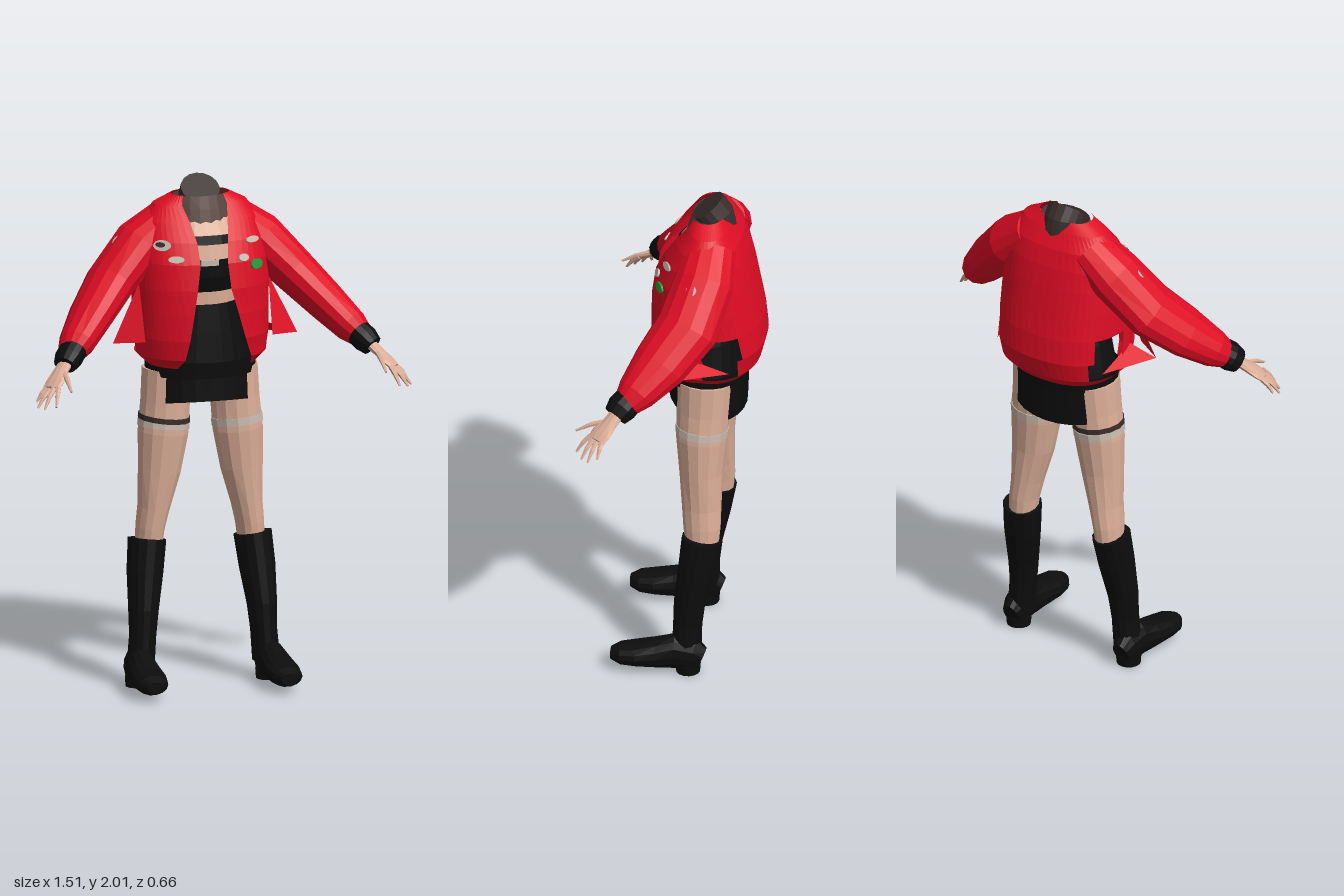
import * as THREE from 'three';

const mat = (name, color, side = THREE.FrontSide) => {
  const m = new THREE.MeshStandardMaterial({ color, side });
  m.name = name;
  return m;
};

// Flat-shaded geometry from points and triangle indices
function faceted(points, index) {
  const g = new THREE.BufferGeometry().setFromPoints(points);
  g.setIndex(index);
  const flat = g.toNonIndexed();
  flat.computeVertexNormals();
  return flat;
}

// Skin elliptical sections [x, y, z, radiusU, radiusV]; u leans towards uDir
function loft(sections, uDir = [1, 0, 0], sides = 14, caps = true) {
  const centres = sections.map(s => new THREE.Vector3(s[0], s[1], s[2]));
  const pts = [], idx = [], last = sections.length - 1;
  sections.forEach((s, i) => {
    const t = centres[Math.min(i + 1, last)].clone().sub(centres[Math.max(i - 1, 0)]).normalize();
    const v = t.clone().cross(new THREE.Vector3(...uDir)).normalize();
    const u = v.clone().cross(t);
    for (let j = 0; j < sides; j++) {
      const a = j / sides * Math.PI * 2;
      pts.push(centres[i].clone().addScaledVector(u, s[3] * Math.cos(a)).addScaledVector(v, s[4] * Math.sin(a)));
    }
  });
  for (let j = 0; j < sides; j++) {
    const k = (j + 1) % sides;
    for (let i = 0; i < last; i++) {
      const a = i * sides + j, b = i * sides + k;
      idx.push(a, b, a + sides, b, b + sides, a + sides);
    }
    if (caps) {
      const n = pts.length - (j ? 2 : 0);
      if (!j) pts.push(centres[0].clone(), centres[last].clone());
      idx.push(n, k, j, n + 1, last * sides + j, last * sides + k);
    }
  }
  return faceted(pts, idx);
}

// Jacket rows: height, half width, front z, back z, opening at -x and at +x
const ROWS = [
  [1.28, .215, .07, -.28, .13, .17], [1.32, .255, .10, -.315, .11, .16],
  [1.40, .265, .115, -.335, .095, .13], [1.50, .265, .115, -.325, .08, .10],
  [1.60, .265, .11, -.305, .065, .07], [1.70, .26, .095, -.285, .05, .06],
  [1.78, .25, .06, -.265, .055, .07], [1.85, .23, .015, -.24, .07, .08],
  [1.91, .185, -.03, -.20, .09, .09], [1.945, .115, -.045, -.175, .08, .08],
];
const POW = 0.85;
const bend = v => Math.sign(v) * Math.abs(v) ** POW;
const angleAt = (x, w) => Math.asin((x / w) ** (1 / POW));

function jacketRow(y) {
  const i = Math.max(1, ROWS.findIndex(r => r[0] >= y));
  const a = ROWS[i - 1], b = ROWS[i], k = (y - a[0]) / (b[0] - a[0]);
  return a.map((v, n) => v + (b[n] - v) * k);
}
function jacketPoint([y, w, zf, zb], a) {
  return new THREE.Vector3(w * bend(Math.sin(a)), y, (zf + zb) / 2 + (zf - zb) / 2 * bend(Math.cos(a)));
}

// Open-fronted jacket shell with a gap in each side
function jacketShell() {
  const cols = 48, pts = [], idx = [];
  for (const r of ROWS) {
    const start = angleAt(r[5], r[1]), end = Math.PI * 2 - angleAt(r[4], r[1]);
    for (let j = 0; j <= cols; j++) pts.push(jacketPoint(r, start + (end - start) * j / cols));
  }
  for (let i = 0; i < ROWS.length - 1; i++) for (let j = 0; j < cols; j++) {
    const a = i * (cols + 1) + j, b = a + 1, c = a + cols + 1, d = c + 1;
    const mid = pts[a].clone().add(pts[d]).multiplyScalar(.5);
    const gap = mid.y > 1.32 && mid.y < 1.5 && mid.z < -.11 && mid.z > -.25 && Math.abs(mid.x) > .17;
    if (!gap) idx.push(a, b, c, b, d, c);
  }
  return faceted(pts, idx);
}

export function createModel() {
  const model = new THREE.Group();
  model.name = 'dressedFigure';
  const red = mat('red cloth', 0xdf0c24, THREE.DoubleSide);
  const black = mat('black cloth', 0x0d0d0e, THREE.DoubleSide);
  const skin = mat('skin', 0xdcae98);
  const pale = mat('pale lace', 0xc9bbb0);
  const brown = mat('brown collar lining', 0x5c4740, THREE.DoubleSide);
  const dark = mat('dark neck', 0x382d2b);
  const green = mat('green badge', 0x25a03c);
  const add = (name, geo, m, parent = model) => {
    const mesh = new THREE.Mesh(geo, m);
    mesh.name = name;
    parent.add(mesh);
    return mesh;
  };

  // Torso, crop top and neck
  add('torso', loft([[0, 1.45, -.1, .14, .11], [0, 1.58, -.1, .15, .115], [0, 1.7, -.095, .17, .13],
    [0, 1.78, -.1, .17, .115], [0, 1.86, -.12, .12, .08]], [1, 0, 0], 20), skin);
  add('cropTop', loft([[0, 1.58, -.1, .158, .123], [0, 1.64, -.097, .172, .14], [0, 1.71, -.095, .18, .14]],
    [1, 0, 0], 20, false), black);
  add('chestStrap', loft([[0, 1.755, -.098, .178, .127], [0, 1.79, -.1, .172, .12]], [1, 0, 0], 20, false), black);
  add('topTrim', new THREE.BoxGeometry(.07, .022, .008), pale).position.set(0, 1.695, .047);
  add('neck', loft([[0, 1.78, -.12, .1, .105], [0, 1.87, -.13, .085, .09], [0, 1.93, -.125, .078, .078],
    [0, 1.962, -.1, .077, .075]], [1, 0, 0], 16), dark);
  add('collarLining', loft([[0, 1.82, -.115, .13, .105], [0, 1.89, -.115, .115, .085],
    [0, 1.94, -.115, .105, .068]], [1, 0, 0], 18, false), brown);

  // Skirt, hanging lower at the back
  const skirt = loft([[0, 1.53, -.1, .15, .125], [0, 1.42, -.105, .185, .14], [0, 1.28, -.11, .215, .155],
    [0, 1.115, -.105, .222, .152]], [1, 0, 0], 24, false);
  const p = skirt.attributes.position;
  for (let i = 0; i < p.count; i++) if (p.getY(i) < 1.2) p.setY(i, p.getY(i) + (p.getZ(i) + .1) * .16);
  skirt.computeVertexNormals();
  add('skirt', skirt, black);

  // Jacket body and hem
  add('jacketBody', jacketShell(), red);
  add('jacketHem', loft([[0, 1.3, -.105, .22, .168], [0, 1.235, -.105, .218, .16]], [1, 0, 0], 24, false), black);

  // Thin badges laid on the jacket chest: x, y, half width, half height, colour
  for (const [x, y, rx, ry, m] of [[.18, 1.685, .03, .02, green], [.17, 1.775, .032, .013, pale],
    [.125, 1.715, .022, .015, pale], [-.185, 1.77, .036, .022, pale], [-.19, 1.772, .02, .01, dark],
    [-.14, 1.72, .032, .014, pale]]) {
    const at = (px, py) => {
      const r = jacketRow(py);
      return jacketPoint(r, Math.sign(px) * angleAt(Math.abs(px), r[1]));
    };
    const c = at(x, y);
    const n = at(x + .015, y).sub(at(x - .015, y)).cross(at(x, y + .015).sub(at(x, y - .015))).normalize();
    const badge = add('badge', new THREE.CylinderGeometry(1, 1, .008, 14).rotateX(Math.PI / 2).scale(rx, ry, 1), m);
    badge.position.copy(c).addScaledVector(n, m === dark ? .009 : .005);
    badge.lookAt(badge.position.clone().add(n));
  }

  for (const s of [1, -1]) {
    const side = s > 0 ? 'left' : 'right';
    const flip = rows => rows.map(([x, ...rest]) => [x * s, ...rest]);
    const V = (x, y, z) => new THREE.Vector3(x * s, y, z);

    // Arm
    const arm = new THREE.Group();
    arm.name = side + 'Arm';
    model.add(arm);
    add('sleeve', loft(flip([[.13, 1.84, -.13, .10, .08], [.24, 1.75, -.12, .12, .10], [.37, 1.615, -.07, .125, .09],
      [.47, 1.51, .02, .11, .08], [.55, 1.425, .10, .08, .068], [.585, 1.39, .135, .056, .05]]), [0, 0, 1]), red, arm);
    add('cuff', loft(flip([[.57, 1.405, .125, .06, .053], [.595, 1.38, .15, .062, .054],
      [.618, 1.356, .172, .05, .043]]), [0, 0, 1]), black, arm);
    const fan = [-s, .3, 1];
    add('palm', loft(flip([[.605, 1.37, .16, .03, .022], [.64, 1.335, .19, .034, .018], [.67, 1.303, .22, .045, .015],
      [.69, 1.283, .236, .04, .011]]), fan, 10), skin, arm);
    for (const [bx, by, bz, tx, ty, tz] of [[.668, 1.29, .262, .69, 1.225, .315], [.683, 1.285, .25, .73, 1.215, .29],
      [.695, 1.28, .235, .75, 1.215, .262], [.702, 1.28, .215, .745, 1.23, .225], [.63, 1.335, .21, .632, 1.285, .325]]) {
      add('finger', loft(flip([[bx, by, bz, .012, .011], [(bx + tx) / 2, (by + ty) / 2 + .006, (bz + tz) / 2, .010, .009],
        [tx, ty, tz, .005, .004]]), fan, 6), skin, arm);
    }
    const patch = add('sleevePatch', new THREE.CylinderGeometry(.022, .022, .009, 12), pale, arm);
    patch.position.set(.338 * s, 1.775, -.085);
    patch.quaternion.setFromUnitVectors(new THREE.Vector3(0, 1, 0), V(.72, .66, .2).normalize());

    // Loose flap beside the gap
    add(side + 'JacketFlap', faceted([V(.26, 1.61, -.05), V(.37, 1.38, -.03), V(.255, 1.39, .03), V(.25, 1.355, -.22),
      V(.26, 1.42, -.05)], [0, 1, 2, 4, 1, 3]), red);

    // Leg, lace garter and boot
    const leg = new THREE.Group();
    leg.name = side + 'Leg';
    model.add(leg);
    add('thigh', loft(flip([[.13, 1.25, -.11, .10, .11], [.14, 1.12, -.105, .097, .105], [.15, 1, -.1, .1, .1],
      [.165, .85, -.1, .085, .085], [.187, .7, -.105, .062, .077], [.2, .62, -.108, .056, .073],
      [.21, .5, -.11, .05, .06]])), skin, leg);
    add('garter', loft(flip([[.146, 1.05, -.102, .102, .105], [.149, 1.02, -.1, .103, .104]])), pale, leg);
    if (s < 0) add('garterStrap', loft(flip([[.144, 1.068, -.102, .102, .106], [.146, 1.048, -.102, .103, .106]])), dark, leg);
    add('bootShaft', loft(flip([[.212, .575, -.108, .076, .078], [.225, .45, -.09, .073, .072],
      [.238, .3, -.065, .06, .062], [.243, .2, -.058, .053, .057], [.252, .08, -.055, .055, .058]])), black, leg);
    add('bootFoot', loft(flip([[.262, .06, -.115, .035, .05], [.262, .075, -.08, .052, .073], [.262, .085, -.01, .055, .075],
      [.266, .075, .06, .064, .06], [.268, .066, .14, .07, .047], [.27, .062, .2, .06, .04],
      [.27, .06, .238, .032, .024]])), black, leg);
    add('bootHeel', new THREE.CylinderGeometry(.05, .047, .04, 14), black, leg).position.set(.262 * s, .02, -.062);
  }
  return model;
}
